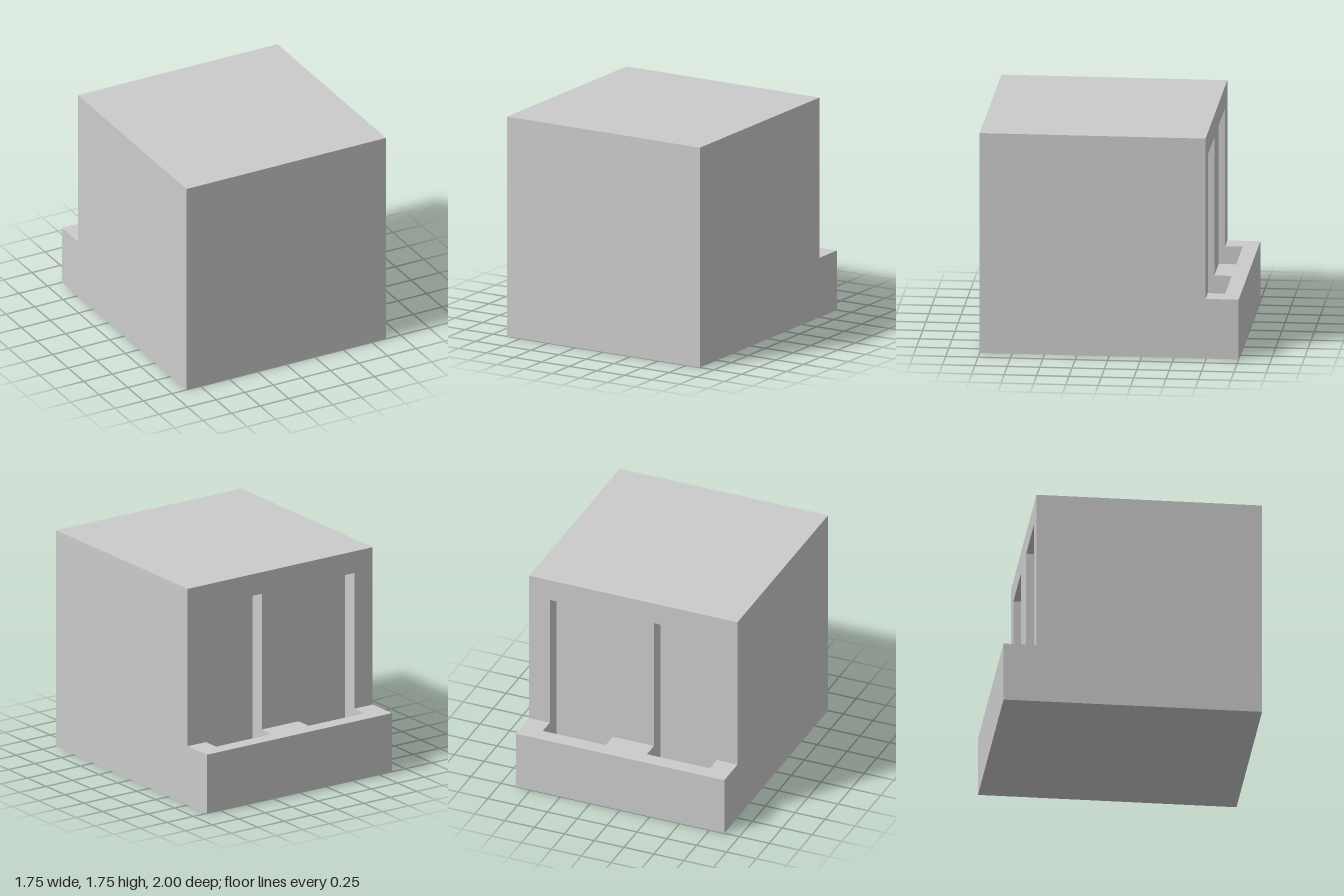
import * as THREE from 'three';

const material = new THREE.MeshStandardMaterial({ color: 0xcccccc, flatShading: true });

// Side profiles as [z, y]: a tall block with a low ledge at the back
const solidProfile = [
  [1, 0], [1, 1.75], [-0.745, 1.75], [-0.745, 0.475], [-1, 0.475], [-1, 0],
];
// The same block with a pocket cut into the back wall and down into the ledge
const pocketProfile = [
  [1, 0], [1, 1.75], [-0.745, 1.75], [-0.745, 1.575], [-0.62, 1.575],
  [-0.62, 0.175], [-0.88, 0.175], [-0.88, 0.475], [-1, 0.475], [-1, 0],
];

// Extrude a side profile across the width from x0 to x1
function slice(name, profile, x0, x1) {
  const shape = new THREE.Shape(profile.map(([z, y]) => new THREE.Vector2(z, y)));
  const geometry = new THREE.ExtrudeGeometry(shape, { depth: x1 - x0, bevelEnabled: false });
  geometry.rotateY(-Math.PI / 2);
  geometry.translate(x1, 0, 0);
  const mesh = new THREE.Mesh(geometry, material);
  mesh.name = name;
  return mesh;
}

export function createModel() {
  const model = new THREE.Group();
  model.name = 'blockWithNiches';

  // Middle pier between the two niches
  model.add(slice('middlePier', solidProfile, -0.173, 0.173));

  // Niche and outer pier on each side
  for (const [label, s] of [['left', 1], ['right', -1]]) {
    const span = (a, b) => (s > 0 ? [a, b] : [-b, -a]);
    model.add(slice(label + 'Niche', pocketProfile, ...span(0.173, 0.7)));
    model.add(slice(label + 'OuterPier', solidProfile, ...span(0.7, 0.873)));
  }
  return model;
}
